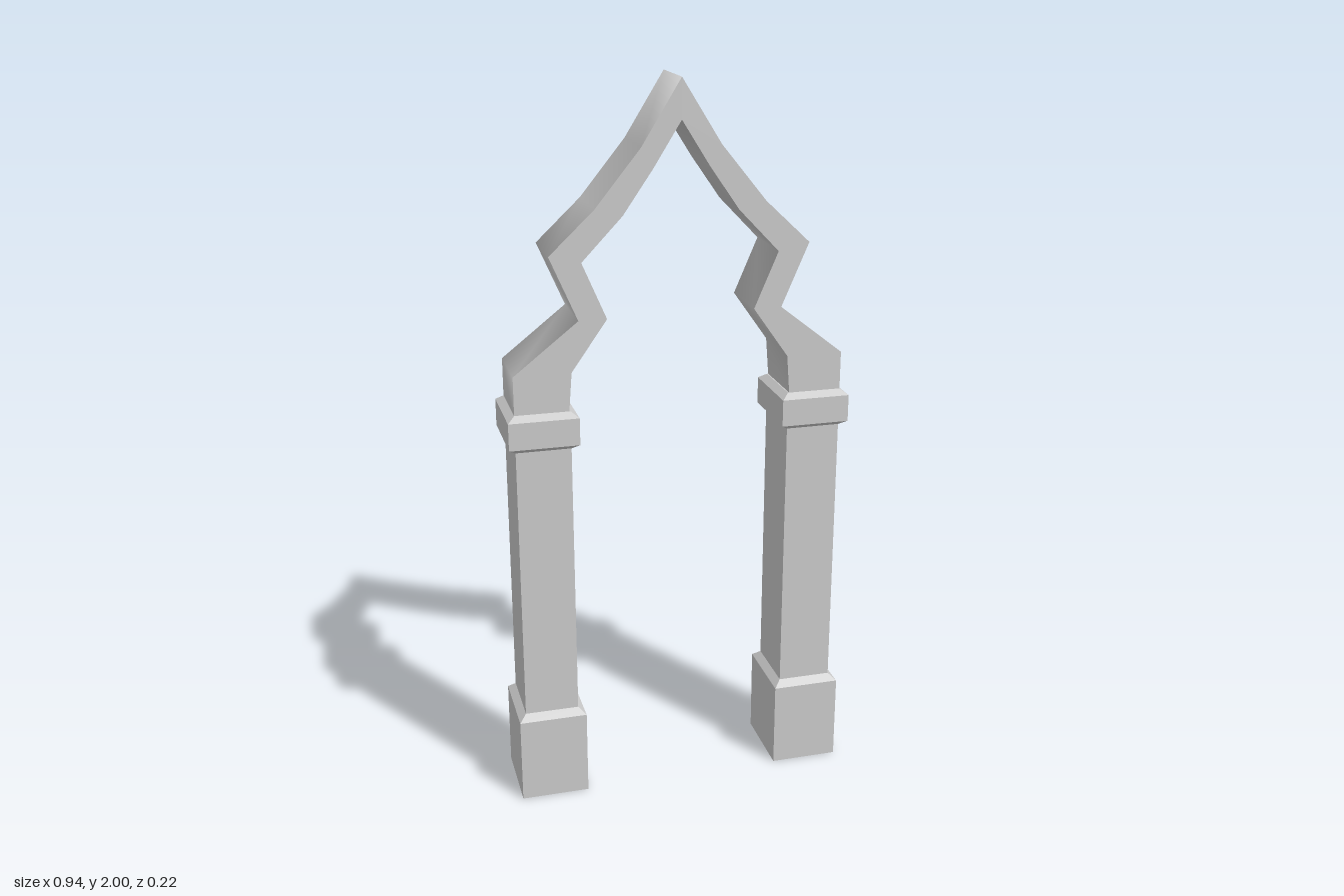
import * as THREE from 'three';

const material = new THREE.MeshStandardMaterial({ color: 0xcccccc });
const HALF_DEPTH = 0.09;

// Right half of the arch contours, from the foot up to the apex
const OUTER = [[0.452, 1.13], [0.452, 1.255], [0.276, 1.393], [0.35, 1.565], [0.228, 1.68], [0.106, 1.83], [0, 2]];
const INNER = [[0.307, 1.13], [0.297, 1.255], [0.2, 1.393], [0.265, 1.545], [0.155, 1.66], [0.074, 1.777], [0, 1.895]];

function mesh(name, geometry) {
  const m = new THREE.Mesh(geometry, material);
  m.name = name;
  return m;
}

// Full contour running left to right over the apex
function mirrored(half) {
  const left = half.map(([x, y]) => [-x, y]);
  return left.concat(half.slice(0, -1).reverse());
}

// Smooth ribbon following a contour through the depth of the arch
function ribbon(points) {
  const g = new THREE.PlaneGeometry(1, 1, points.length - 1, 1);
  const p = g.attributes.position;
  for (let i = 0; i < p.count; i++) {
    const [x, y] = points[i % points.length];
    p.setXYZ(i, x, y, i < points.length ? -HALF_DEPTH : HALF_DEPTH);
  }
  g.computeVertexNormals();
  return g;
}

// Rectangular block between two heights, with its own half sizes at each end
function block(y0, y1, bottom, top) {
  const g = new THREE.BoxGeometry(2, 2, 2);
  const p = g.attributes.position;
  for (let i = 0; i < p.count; i++) {
    const [hx, hz] = p.getY(i) > 0 ? top : bottom;
    p.setXYZ(i, p.getX(i) * hx, p.getY(i) > 0 ? y1 : y0, p.getZ(i) * hz);
  }
  g.computeVertexNormals();
  return g;
}

function createArch() {
  const arch = new THREE.Group();
  arch.name = 'arch';
  const outer = mirrored(OUTER);
  const inner = mirrored(INNER).reverse();
  const shape = new THREE.Shape(outer.concat(inner).map(([x, y]) => new THREE.Vector2(x, y)));
  const face = new THREE.ShapeGeometry(shape);
  arch.add(
    mesh('archOuterSurface', ribbon(outer)),
    mesh('archInnerSurface', ribbon(inner)),
    mesh('archFrontFace', face.clone().translate(0, 0, HALF_DEPTH)),
    mesh('archBackFace', face.clone().rotateY(Math.PI).translate(0, 0, -HALF_DEPTH))
  );
  return arch;
}

function createPier(name, x) {
  const pier = new THREE.Group();
  pier.name = name;
  const slim = [0.075, HALF_DEPTH];
  const wide = [0.095, 0.11];
  pier.add(
    mesh('base', block(0, 0.245, wide, wide)),
    mesh('baseBevel', block(0.245, 0.263, wide, slim)),
    mesh('shaft', block(0.263, 1.05, slim, slim)),
    mesh('capitalLowerBevel', block(1.046, 1.06, slim, wide)),
    mesh('capital', block(1.06, 1.135, wide, wide)),
    mesh('capitalUpperBevel', block(1.135, 1.15, wide, slim))
  );
  pier.position.x = x;
  return pier;
}

export function createModel() {
  const model = new THREE.Group();
  model.name = 'archway';
  model.add(createArch(), createPier('leftPier', 0.377), createPier('rightPier', -0.377));
  return model;
}
